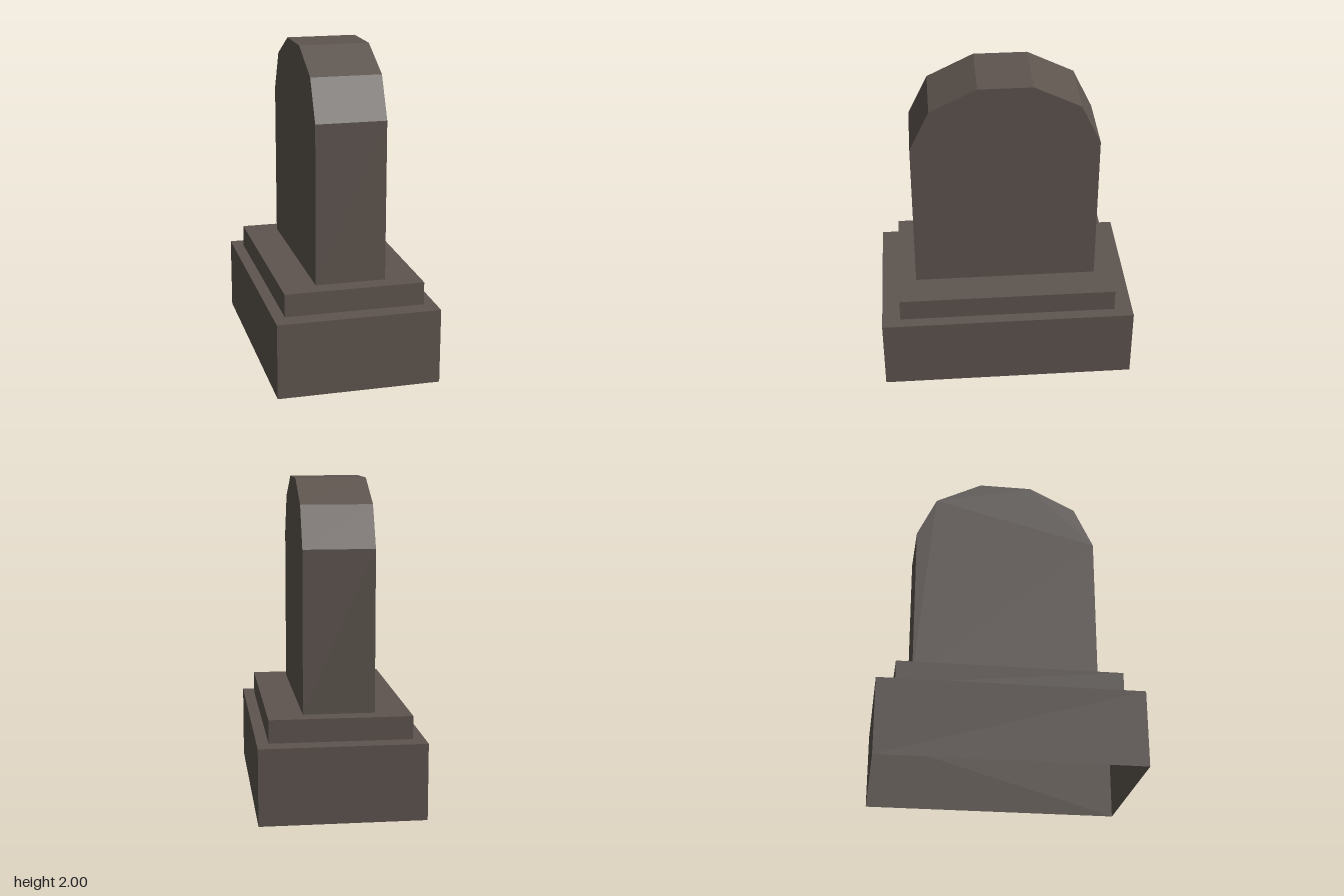
import * as THREE from 'three';

const stone = new THREE.MeshStandardMaterial({ color: 0x5e554f, side: THREE.DoubleSide });
stone.name = 'dark stone';

// Keeps only the triangles whose vertical normal component passes the test
function keepFaces(geometry, test) {
  const source = geometry.index ? geometry.toNonIndexed() : geometry;
  const pos = source.attributes.position;
  const normal = source.attributes.normal;
  const points = [];
  for (let i = 0; i < pos.count; i += 3) {
    if (!test(normal.getY(i))) continue;
    for (let k = i; k < i + 3; k++) points.push(pos.getX(k), pos.getY(k), pos.getZ(k));
  }
  const result = new THREE.BufferGeometry();
  result.setAttribute('position', new THREE.Float32BufferAttribute(points, 3));
  result.computeVertexNormals();
  return result;
}

function addMesh(group, geometry, name) {
  const mesh = new THREE.Mesh(geometry, stone);
  mesh.name = name;
  group.add(mesh);
}

function rectangle(PathType, x, z) {
  return new PathType([[-x, -z], [x, -z], [x, z], [-x, z]].map(([a, b]) => new THREE.Vector2(a, b)));
}

// Hollow tier: four walls and a ledge around the opening of the part above
function addTier(group, name, [x, z], [innerX, innerZ], bottom, top) {
  const walls = new THREE.BoxGeometry(2 * x, top - bottom, 2 * z).translate(0, (top + bottom) / 2, 0);
  addMesh(group, keepFaces(walls, (ny) => Math.abs(ny) < 0.5), name + 'Walls');

  const ring = rectangle(THREE.Shape, x, z);
  ring.holes.push(rectangle(THREE.Path, innerX, innerZ));
  const ledge = new THREE.ShapeGeometry(ring).rotateX(-Math.PI / 2).translate(0, top, 0);
  addMesh(group, ledge, name + 'Ledge');
}

export function createModel() {
  const group = new THREE.Group();
  group.name = 'gravestone';

  const base = [0.505, 0.8];
  const step = [0.433, 0.685];
  const slab = [0.218, 0.575];
  addTier(group, 'base', base, step, 0, 0.47);
  addTier(group, 'step', step, slab, 0.47, 0.612);

  // Upright slab with a faceted round top, hollow and open underneath
  const half = [[slab[1], 0.612], [slab[1], 1.603], [0.453, 1.857], [0.165, 2]];
  const mirrored = half.map(([z, y]) => [-z, y]).reverse();
  const outline = new THREE.Shape([...half, ...mirrored].map(([z, y]) => new THREE.Vector2(z, y)));
  const body = new THREE.ExtrudeGeometry(outline, { depth: 2 * slab[0], bevelEnabled: false })
    .translate(0, 0, -slab[0])
    .rotateY(Math.PI / 2);
  addMesh(group, keepFaces(body, (ny) => ny > -0.5), 'slab');

  return group;
}
